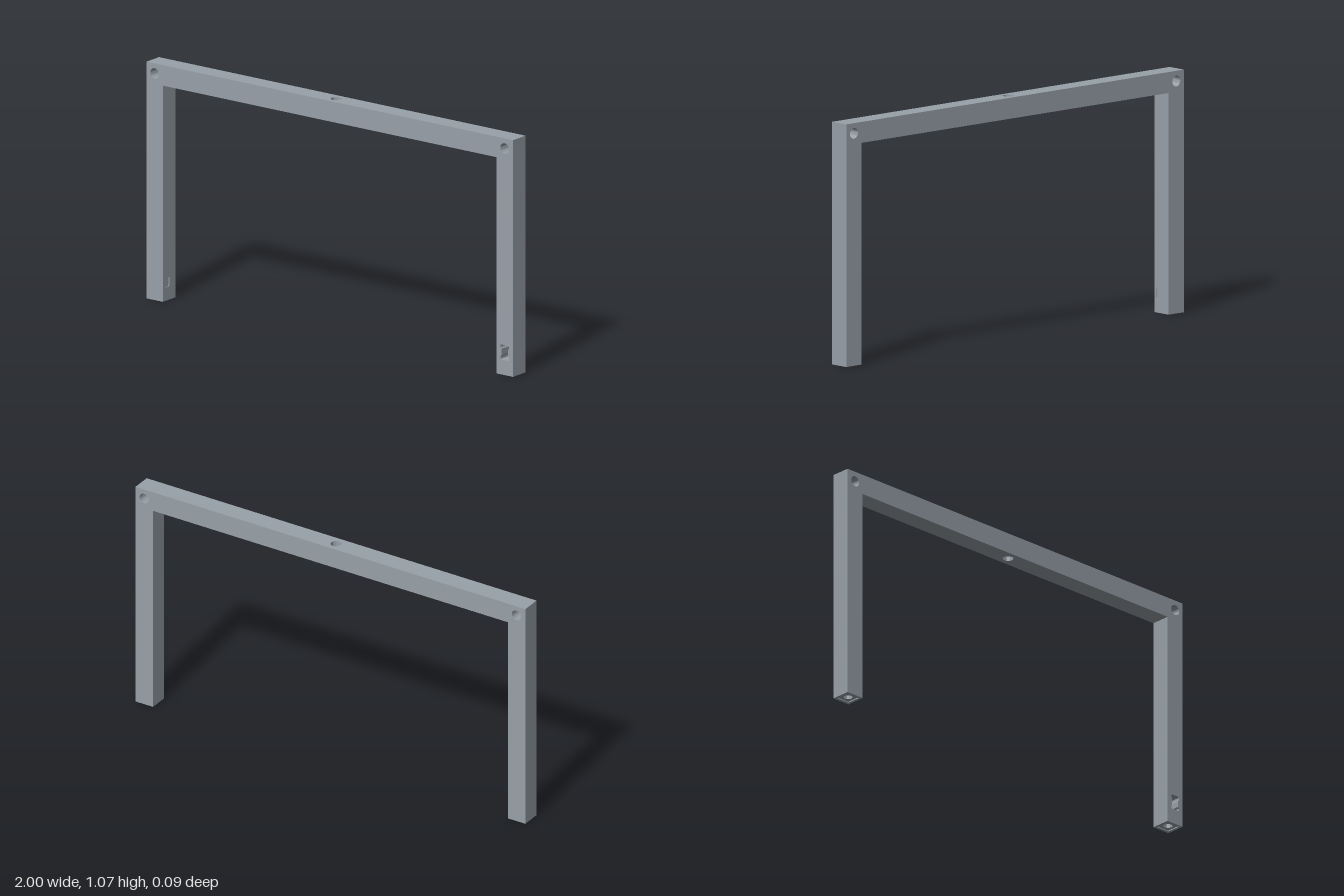
import * as THREE from 'three';
import { toCreasedNormals } from 'three/addons/utils/BufferGeometryUtils.js';

const H = 1.065, T = 0.09, R = T / 2, HP = Math.PI / 2;
const INNER = 1 - T, UNDER = 0.973, LEG = 1 - R;

// Counter-clockwise outlines
const poly = (pts) => pts.map(([x, y]) => new THREE.Vector2(x, y));
const rect = (w, h, x = 0, y = 0) => poly([
  [x - w / 2, y - h / 2], [x + w / 2, y - h / 2], [x + w / 2, y + h / 2], [x - w / 2, y + h / 2]]);
const circle = (r, x = 0, y = 0, n = 32) => Array.from({ length: n }, (_, i) => {
  const a = (i / n) * Math.PI * 2;
  return new THREE.Vector2(x + r * Math.cos(a), y + r * Math.sin(a));
});
const chamfered = (w, h, c, x, y) => poly([
  [-w / 2 + c, -h / 2], [w / 2 - c, -h / 2], [w / 2, -h / 2 + c], [w / 2, h / 2 - c],
  [w / 2 - c, h / 2], [-w / 2 + c, h / 2], [-w / 2, h / 2 - c], [-w / 2, -h / 2 + c],
].map(([px, py]) => [px + x, py + y]));

// Inward-facing walls of a cut that runs from z = 0 to z = -depth
function wallGeometry(outline, depth) {
  const pos = [];
  outline.forEach((a, i) => {
    const b = outline[(i + 1) % outline.length];
    pos.push(a.x, a.y, 0, b.x, b.y, 0, b.x, b.y, -depth);
    pos.push(a.x, a.y, 0, b.x, b.y, -depth, a.x, a.y, -depth);
  });
  const g = new THREE.BufferGeometry();
  g.setAttribute('position', new THREE.Float32BufferAttribute(pos, 3));
  return toCreasedNormals(g, 0.6);
}

export function createModel() {
  const model = new THREE.Group();
  model.name = 'archFrame';
  const material = new THREE.MeshStandardMaterial({ color: 0x98a1a9 });

  const addMesh = (parent, name, geometry, z) => {
    const mesh = new THREE.Mesh(geometry, material);
    mesh.name = name;
    mesh.position.z = z;
    parent.add(mesh);
  };

  // Flat face with cuts; each cut may have walls, a floor and further cuts in that floor
  function addFace(parent, name, outline, cuts = [], z = 0) {
    const shape = new THREE.Shape(outline);
    cuts.forEach((c) => shape.holes.push(new THREE.Path(c.outline)));
    addMesh(parent, name, new THREE.ShapeGeometry(shape), z);
    for (const c of cuts) {
      if (c.depth) addMesh(parent, c.name + 'Wall', wallGeometry(c.outline, c.depth), z);
      if (c.floor) addFace(parent, c.name + 'Floor', c.outline, c.cuts, z - c.depth);
    }
  }

  function panel(name, outline, cuts, position, rotation) {
    const group = new THREE.Group();
    group.name = name;
    group.position.set(...position);
    group.rotation.set(...rotation);
    addFace(group, name + 'Face', outline, cuts);
    model.add(group);
  }

  // Front and back: upside-down U with a bolt hole through each corner
  const arch = poly([[-1, 0], [-INNER, 0], [-INNER, UNDER], [INNER, UNDER],
    [INNER, 0], [1, 0], [1, H], [-1, H]]);
  const cornerHoles = (depth) => [-1, 1].map((s) => (
    { name: 'cornerHole', outline: circle(0.0235, s * LEG, H - R), depth }));

  // Deep waisted switch recess near the foot of one leg
  const switchOutline = poly([
    [-0.020, -0.034], [0.020, -0.034], [0.023, -0.031], [0.023, -0.021], [0.018, -0.014],
    [0.018, 0.014], [0.023, 0.021], [0.023, 0.031], [0.020, 0.034], [-0.020, 0.034],
    [-0.023, 0.031], [-0.023, 0.021], [-0.018, 0.014], [-0.018, -0.014],
    [-0.023, -0.021], [-0.023, -0.031],
  ].map(([x, y]) => [x + LEG, y + 0.101]));
  const switchCut = { name: 'switchRecess', outline: switchOutline, depth: 0.07, floor: true };

  panel('front', arch, [...cornerHoles(T), switchCut], [0, 0, R], [0, 0, 0]);
  panel('back', arch, cornerHoles(0), [0, 0, -R], [0, Math.PI, 0]);

  // Beam top and underside with a vertical hole in the middle
  const middleHole = (depth) => [{ name: 'middleHole', outline: circle(0.0235), depth }];
  panel('beamTop', rect(2, T), middleHole(H - UNDER), [0, H, 0], [-HP, 0, 0]);
  panel('beamUnderside', rect(2 * INNER, T), middleHole(0), [0, UNDER, 0], [HP, 0, 0]);

  // Leg sides and feet; one inner side has a small shallow cable port
  const port = { name: 'cablePort', outline: chamfered(0.034, 0.045, 0.005, -0.016, 0.083),
    depth: 0.004, floor: true };
  const footCut = { name: 'footPocket', outline: rect(0.066, 0.066), depth: 0.005, floor: true,
    cuts: [{ name: 'footHole', outline: circle(0.02), depth: 0.03, floor: true }] };
  for (const s of [-1, 1]) {
    const side = s < 0 ? 'right' : 'left';
    panel(side + 'LegOuter', rect(T, H, 0, H / 2), [], [s, 0, 0], [0, s * HP, 0]);
    panel(side + 'LegInner', rect(T, UNDER, 0, UNDER / 2), s < 0 ? [port] : [],
      [s * INNER, 0, 0], [0, -s * HP, 0]);
    panel(side + 'Foot', rect(T, T), [footCut], [s * LEG, 0, 0], [HP, 0, 0]);
  }
  return model;
}
